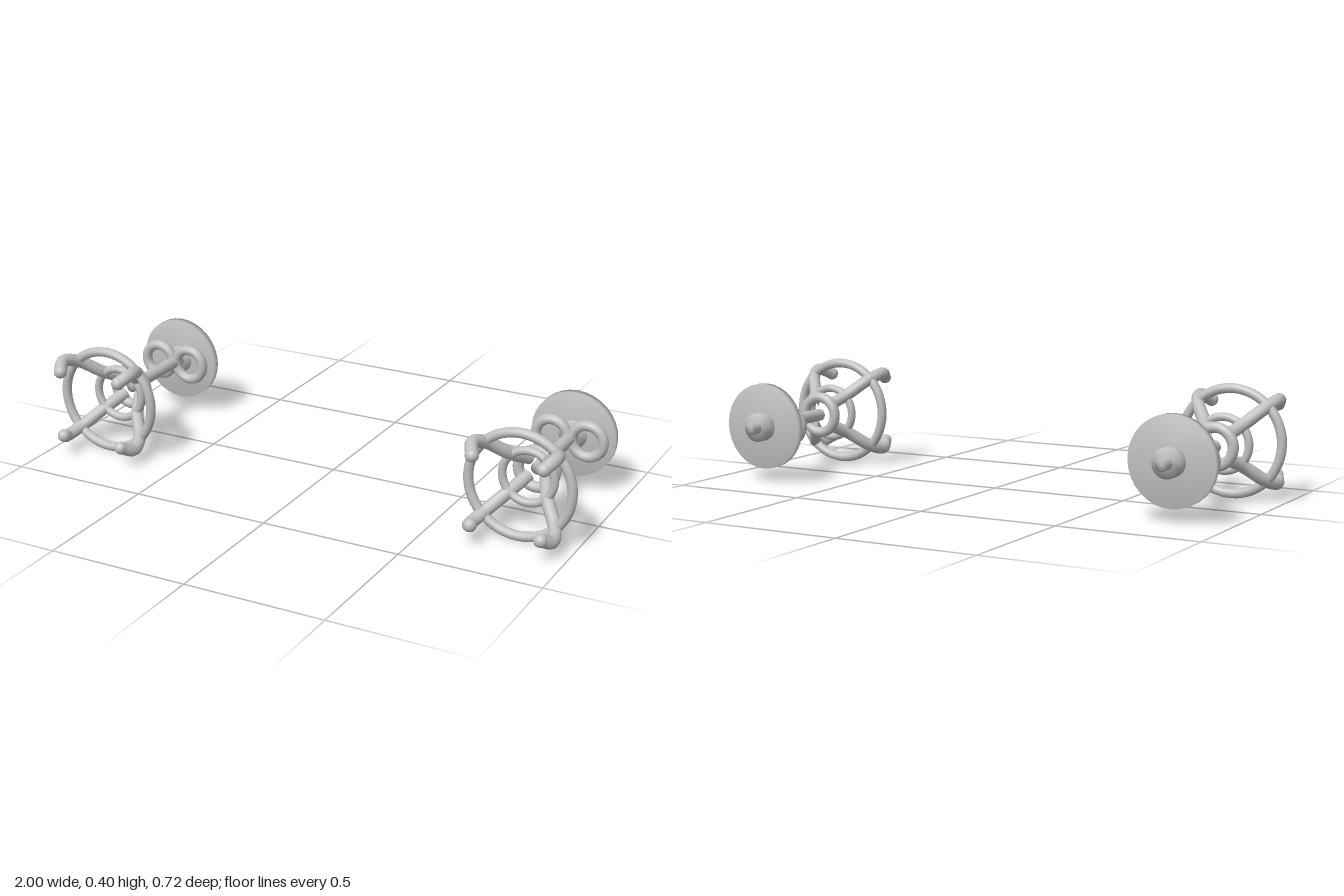
import * as THREE from 'three';
import { mergeVertices } from 'three/addons/utils/BufferGeometryUtils.js';

const AXIS_Y = 0.199, SPACING = 0.801;
const silver = new THREE.MeshStandardMaterial({ color: 0xc0c0c0 });
silver.name = 'silver';

function add(parent, name, geometry) {
  const mesh = new THREE.Mesh(geometry, silver);
  mesh.name = name;
  parent.add(mesh);
  return mesh;
}

// Solid round bar along z with normals blended softly over its rims
function bar(radius, z0, z1) {
  let geo = new THREE.CylinderGeometry(radius, radius, z1 - z0, 32);
  geo.rotateX(Math.PI / 2).translate(0, 0, (z0 + z1) / 2);
  geo.deleteAttribute('normal');
  geo.deleteAttribute('uv');
  geo = mergeVertices(geo);
  geo.computeVertexNormals();
  return geo;
}

// Ring facing z, given by its outer radius
function ring(outer, tube, x, z) {
  return new THREE.TorusGeometry(outer - tube, tube, 12, 48).translate(x, 0, z);
}

function createEarring() {
  const earring = new THREE.Group();
  earring.name = 'earring';

  // Post running from the basket through the back
  add(earring, 'post', bar(0.0225, -0.357, 0.075));

  // Basket rings, front to back
  add(earring, 'upperRing', ring(0.199, 0.017, 0, 0.225));
  add(earring, 'middleRing', ring(0.107, 0.0145, 0, 0.152));
  add(earring, 'lowerRing', ring(0.085, 0.019, 0, 0.077));

  // Four curved claws with rounded tips: [radius, z]
  const profile = [[0.044, 0.07], [0.064, 0.1], [0.1, 0.15], [0.18, 0.225], [0.204, 0.29], [0.174, 0.338]];
  const path = new THREE.CatmullRomCurve3(profile.map(([r, z]) => new THREE.Vector3(r, 0, z)));
  for (let i = 0; i < 4; i++) {
    const claw = new THREE.Group();
    claw.name = 'claw';
    claw.rotation.z = Math.PI / 4 + i * Math.PI / 2;
    add(claw, 'clawArm', new THREE.TubeGeometry(path, 32, 0.0225, 12));
    add(claw, 'clawTip', new THREE.SphereGeometry(0.0235, 16, 12)).position.set(0.174, 0, 0.338);
    earring.add(claw);
  }

  // Clutch: two side loops, a wide disc and its hub
  for (const side of [-1, 1]) {
    add(earring, 'clutchLoop', ring(0.076, 0.0185, side * 0.066, -0.219));
  }
  add(earring, 'clutchDisc', bar(0.154, -0.282, -0.256));
  add(earring, 'clutchHub', bar(0.051, -0.323, -0.249));
  return earring;
}

export function createModel() {
  const model = new THREE.Group();
  model.name = 'earringPair';
  for (const side of [-1, 1]) {
    const earring = createEarring();
    earring.position.set(side * SPACING, AXIS_Y, 0);
    model.add(earring);
  }
  return model;
}
